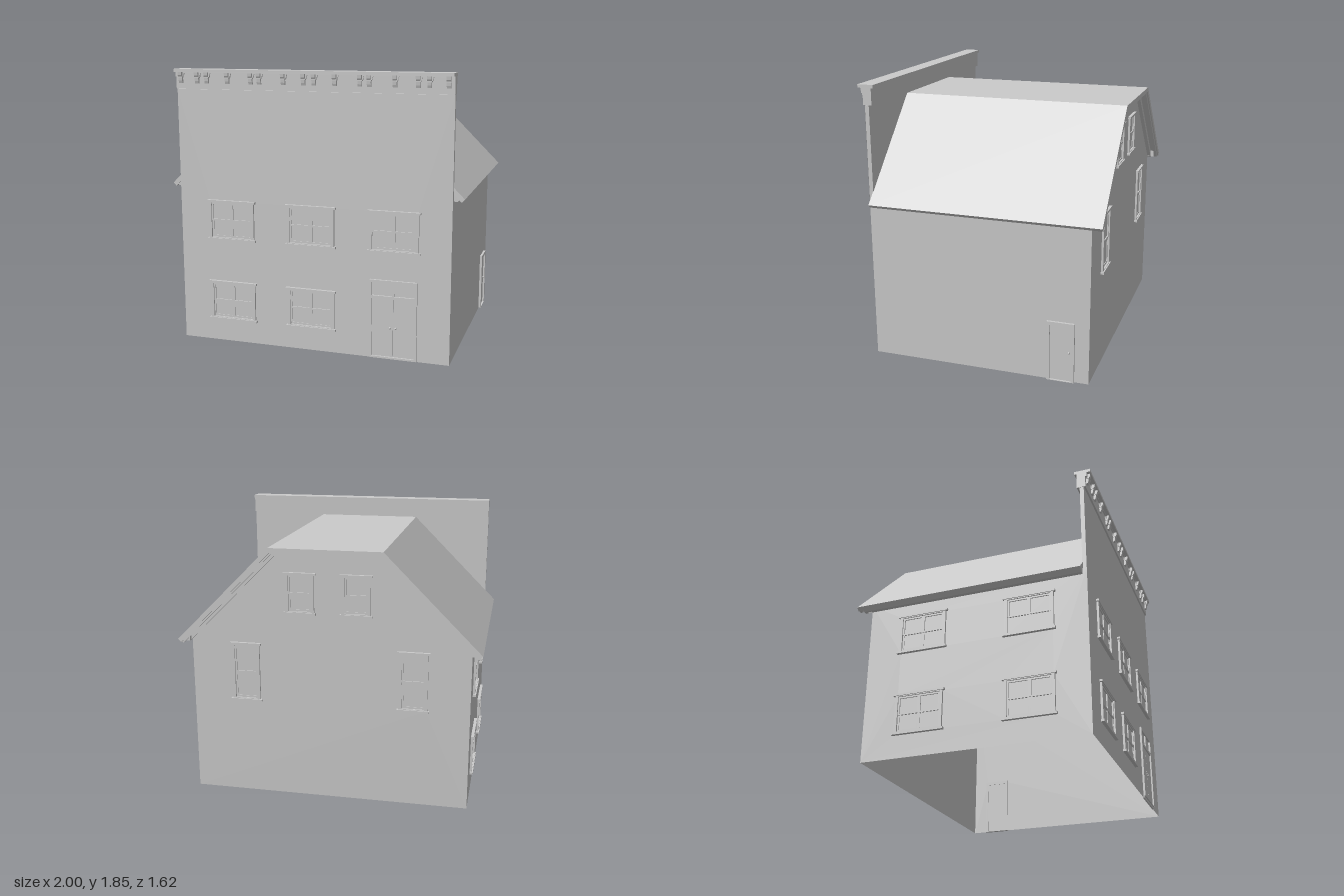
import * as THREE from 'three';

const mat = new THREE.MeshStandardMaterial({ color: 0xcccccc, side: THREE.DoubleSide });

function add(parent, name, geometry) {
  const mesh = new THREE.Mesh(geometry, mat);
  mesh.name = name;
  parent.add(mesh);
  return mesh;
}

// box given by its extents on each axis
function box(parent, name, x0, x1, y0, y1, z0, z1) {
  const mesh = add(parent, name, new THREE.BoxGeometry(x1 - x0, y1 - y0, z1 - z0));
  mesh.position.set((x0 + x1) / 2, (y0 + y1) / 2, (z0 + z1) / 2);
  return mesh;
}

const polygon = (points) => new THREE.Shape(points.map(([x, y]) => new THREE.Vector2(x, y)));
const rect = (x0, x1, y0, y1) => [[x0, y0], [x1, y0], [x1, y1], [x0, y1]];

function extrude(parent, name, shape, z0, z1) {
  const mesh = add(parent, name, new THREE.ExtrudeGeometry(shape, { depth: z1 - z0, bevelEnabled: false, curveSegments: 4 }));
  mesh.position.z = z0;
  return mesh;
}

// rectangular surround with a rectangular opening
function surround(parent, name, outer, inner, z0, z1) {
  const shape = polygon(rect(...outer));
  shape.holes.push(polygon(rect(...inner)));
  return extrude(parent, name, shape, z0, z1);
}

// window centred at x = u, from y0 to y1, facing +z
function addWindow(parent, u, y0, y1, w, columns) {
  const g = new THREE.Group();
  g.name = 'window';
  g.position.x = u;
  parent.add(g);
  const a = w / 2, b = a - 0.02;
  surround(g, 'casing', [-a, a, y0, y1], [-b, b, y0 + 0.02, y1 - 0.02], -0.008, 0.014);
  box(g, 'sill', -a - 0.011, a + 0.011, y0, y0 + 0.015, -0.004, 0.022);
  box(g, 'head', -a - 0.011, a + 0.011, y1 - 0.014, y1, -0.004, 0.02);
  const step = (2 * b) / columns, mid = (y0 + y1) / 2;
  for (let i = 0; i < columns; i++) {
    const x0 = -b + i * step, x1 = x0 + step;
    surround(g, 'upperSash', [x0, x1, mid - 0.005, y1 - 0.02], [x0 + 0.011, x1 - 0.011, mid + 0.006, y1 - 0.031], -0.004, 0.006);
    surround(g, 'lowerSash', [x0, x1, y0 + 0.02, mid + 0.005], [x0 + 0.011, x1 - 0.011, y0 + 0.033, mid - 0.006], -0.008, 0.002);
  }
  box(g, 'glass', -b, b, y0 + 0.02, y1 - 0.02, -0.004, -0.002);
}

function addKnob(parent, x, y, z) {
  add(parent, 'knob', new THREE.SphereGeometry(0.007, 10, 8)).position.set(x, y, z);
}

// wall sheet with cut openings, turned to face its side of the house
function addWall(parent, name, outline, openings, angle, distance) {
  const g = new THREE.Group();
  g.name = name;
  g.rotation.y = angle;
  g.position.set(Math.sin(angle) * distance, 0, Math.cos(angle) * distance);
  parent.add(g);
  const shape = polygon(outline);
  for (const o of openings) {
    const b = o.w / 2 - 0.01;
    shape.holes.push(polygon(rect(o.u - b, o.u + b, o.y0 + 0.01, o.y1 - 0.01)));
    if (!o.door) addWindow(g, o.u, o.y0, o.y1, o.w, o.columns);
  }
  add(g, name + 'Sheet', new THREE.ShapeGeometry(shape));
  return g;
}

const wide = (u, y0) => ({ u, y0, y1: y0 + 0.275, w: 0.325, columns: 2 });
const narrow = (u, y0, y1) => ({ u, y0, y1, w: 0.19, columns: 1 });

export function createModel() {
  const house = new THREE.Group();
  house.name = 'house';
  const W = 0.93, front = 0.765, back = 0.73;

  // front wall, with the double entrance door and its transom
  const facade = addWall(house, 'frontWall', rect(-W, W, 0, 1.72), [
    wide(-0.56, 0.15), wide(0, 0.15), wide(-0.56, 0.71), wide(0, 0.71), wide(0.56, 0.71),
    { u: 0.56, y0: 0, y1: 0.53, w: 0.31, door: true },
  ], 0, front);
  const entry = new THREE.Group();
  entry.name = 'frontDoor';
  entry.position.x = 0.56;
  facade.add(entry);
  surround(entry, 'doorCasing', [-0.157, 0.157, 0.015, 0.53], [-0.142, 0.142, 0.016, 0.512], -0.008, 0.014);
  box(entry, 'transomBar', -0.145, 0.145, 0.405, 0.425, -0.006, 0.012);
  box(entry, 'transomMullion', -0.008, 0.008, 0.42, 0.515, -0.006, 0.01);
  box(entry, 'transomGlass', -0.145, 0.145, 0.42, 0.515, -0.003, 0);
  box(entry, 'threshold', -0.157, 0.157, 0, 0.015, -0.006, 0.005);
  for (const s of [-1, 1]) {
    const x = s * 0.0725;
    box(entry, 'doorLeaf', x - 0.0715, x + 0.0715, 0.015, 0.405, -0.004, 0.003);
    addKnob(entry, s * 0.018, 0.213, 0.008);
  }

  // parapet thickness above the eaves
  box(house, 'parapet', -W, W, 1.09, 1.72, 0.737, front - 0.001);

  // side walls: windows on one, a door on the other
  addWall(house, 'rightWall', rect(-back, front, 0, 1.108),
    [wide(-0.345, 0.15), wide(0.385, 0.15), wide(-0.345, 0.71), wide(0.385, 0.71)], -Math.PI / 2, W);
  const left = addWall(house, 'leftWall', rect(-front, back, 0, 1.108),
    [{ u: 0.5425, y0: 0, y1: 0.41, w: 0.185, door: true }], Math.PI / 2, W);
  const side = new THREE.Group();
  side.name = 'sideDoor';
  side.position.x = 0.5425;
  left.add(side);
  surround(side, 'doorCasing', [-0.0925, 0.0925, 0, 0.41], [-0.072, 0.072, 0.004, 0.387], -0.008, 0.016);
  box(side, 'doorLeaf', -0.073, 0.073, 0.004, 0.388, -0.004, 0.004);
  addKnob(side, 0.057, 0.205, 0.009);

  // back gable wall
  const gable = [[-W, 0], [W, 0], [W, 1.108], [0.358, 1.68], [-0.358, 1.68], [-W, 1.108]];
  addWall(house, 'backWall', gable, [
    narrow(-0.56, 0.655, 1.06), narrow(0.56, 0.655, 1.06),
    narrow(-0.185, 1.27, 1.545), narrow(0.185, 1.27, 1.545),
  ], Math.PI, back);

  // band following the roof line: mirrored outer and inner edges of three points each
  const band = (outer, inner) => {
    const mirror = (p) => p.map(([x, y]) => [-x, y]);
    return polygon([...outer, ...mirror(outer).reverse(), ...mirror(inner), ...[...inner].reverse()]);
  };
  // flat-topped roof with sloping sides
  extrude(house, 'roof', band([[1.0, 1.08], [0.37, 1.71]], [[0.979, 1.059], [0.358, 1.68]]), -0.81, 0.74);
  // rake mouldings beneath the overhang and against the gable
  extrude(house, 'rakeMoulding', band([[0.979, 1.059], [0.358, 1.68]], [[0.967, 1.053], [0.353, 1.667]]), -0.8, -0.78);
  extrude(house, 'rakeFrieze', band([[0.95, 1.088], [0.358, 1.68]], [[0.94, 1.055], [0.346, 1.649]]), -0.755, -0.729);
  // eave mouldings
  for (const s of [-1, 1]) {
    const eave = polygon([[s * 0.929, 1.109], [s * 0.965, 1.073], [s * 0.955, 1.063], [s * 0.929, 1.063]]);
    extrude(house, 'eaveMoulding', eave, -0.78, 0.737);
  }

  // cornice board and projecting cap
  const cornice = new THREE.Group();
  cornice.name = 'cornice';
  house.add(cornice);
  box(cornice, 'corniceBoard', -W, W, 1.722, 1.832, 0.717, 0.776);
  box(cornice, 'corniceCap', -W, W, 1.832, 1.853, 0.703, 0.81);

  // brackets, with scalloped trim spanning between them
  const half = [0.035, 0.172, 0.337, 0.396, 0.56, 0.706, 0.775, 0.893];
  const xs = [...half.map((x) => -x).reverse(), ...half];
  const profile = polygon([[0, 1.76], [0.01, 1.76], [0.015, 1.775], [0.017, 1.795], [0.026, 1.812], [0.028, 1.832], [0, 1.832]]);
  const bracketGeo = new THREE.ExtrudeGeometry(profile, { depth: 0.026, bevelEnabled: false });
  bracketGeo.translate(0, 0, -0.013).rotateY(-Math.PI / 2);
  const trim = new THREE.Shape();
  trim.moveTo(-W, 1.832);
  trim.lineTo(-W, 1.802);
  for (const x of xs) {
    const bracket = add(cornice, 'bracket', bracketGeo);
    bracket.position.set(x, 0, 0.776);
    box(cornice, 'bracketCollar', x - 0.017, x + 0.017, 1.795, 1.804, 0.776, 0.797);
    const r = 0.02;
    if (x > xs[0]) trim.quadraticCurveTo(x - r - 0.002, 1.826, x - r, 1.802);
    trim.lineTo(x + r, 1.802);
    if (x < xs[xs.length - 1]) {
      trim.quadraticCurveTo(x + r + 0.002, 1.826, x + r + 0.008, 1.826);
      const next = xs[xs.indexOf(x) + 1];
      trim.lineTo(next - r - 0.008, 1.826);
    }
  }
  trim.lineTo(W, 1.802);
  trim.lineTo(W, 1.832);
  extrude(cornice, 'scallopTrim', trim, 0.775, 0.786);

  return house;
}
